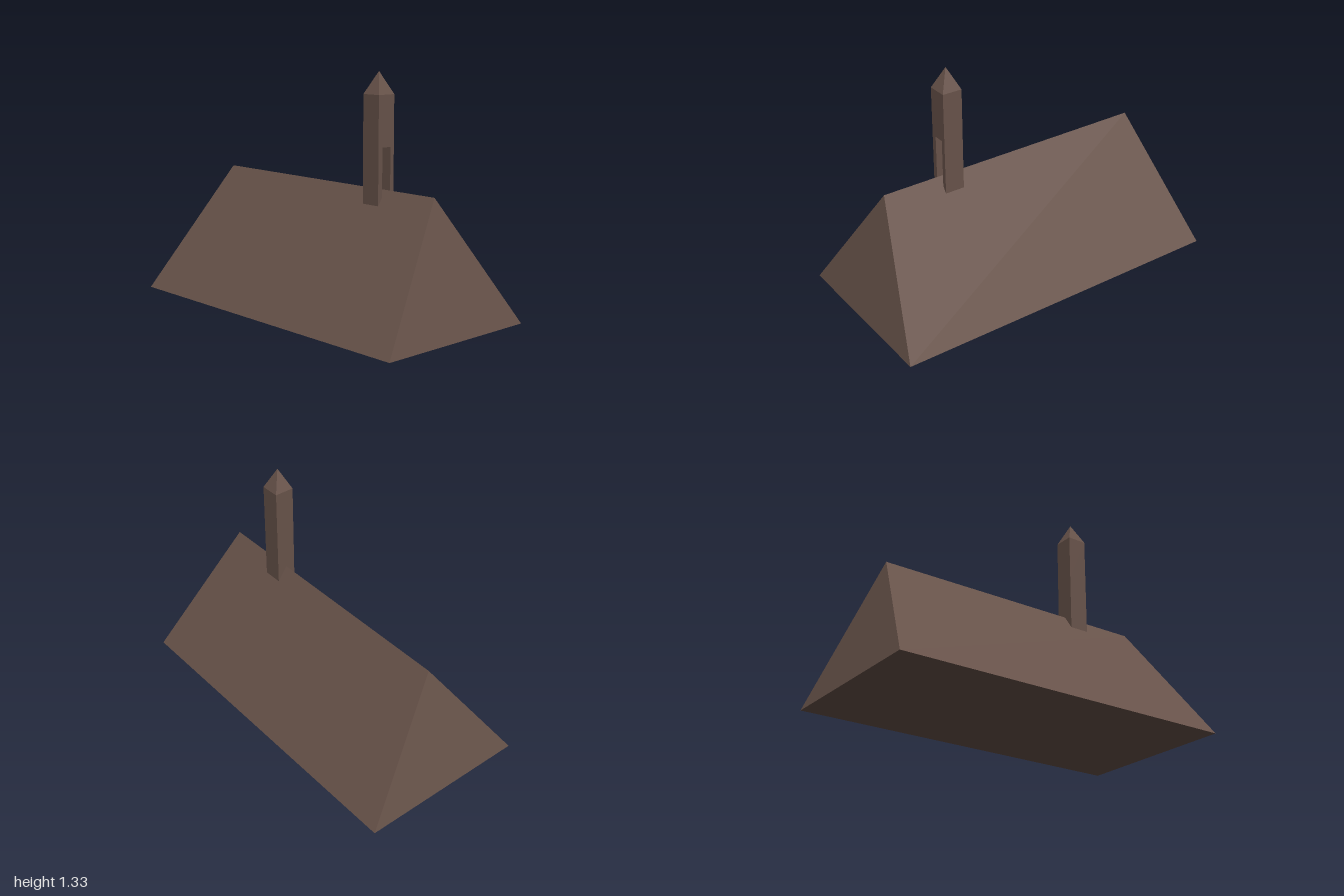
import * as THREE from 'three';

export function createModel() {
  const group = new THREE.Group();
  group.name = 'roofWithTurret';
  const brown = new THREE.MeshStandardMaterial({ color: 0x68534a, flatShading: true });
  brown.name = 'brown';

  const add = (name, geometry, x = 0, y = 0, z = 0) => {
    const mesh = new THREE.Mesh(geometry, brown);
    mesh.name = name;
    mesh.position.set(x, y, z);
    group.add(mesh);
  };

  // Hipped roof: four base corners and two ridge ends
  const points = [
    [-1, 0, 0.5], [1, 0, 0.5], [1, 0, -0.5], [-1, 0, -0.5],
    [-0.82, 0.71, 0], [0.82, 0.71, 0],
  ];
  const faces = [
    0, 1, 5, 0, 5, 4, // front slope
    2, 3, 4, 2, 4, 5, // back slope
    1, 2, 5, 3, 0, 4, // hips
    0, 3, 2, 0, 2, 1, // underside
  ];
  const roof = new THREE.BufferGeometry();
  roof.setAttribute('position', new THREE.Float32BufferAttribute(faces.flatMap((i) => points[i]), 3));
  roof.computeVertexNormals();
  add('hippedRoof', roof);

  // Turret: the lower shaft is U-shaped in plan, open towards +x
  const cx = 0.421, h = 0.057, eaves = 1.21, lintel = 0.935, foot = 0.58;
  const plan = new THREE.Shape([
    [-h, -h], [h, -h], [h, -0.028], [-0.03, -0.028],
    [-0.03, 0.032], [h, 0.032], [h, h], [-h, h],
  ].map(([x, y]) => new THREE.Vector2(x, y)));
  const shaft = new THREE.ExtrudeGeometry(plan, { depth: lintel - foot, bevelEnabled: false });
  shaft.rotateX(-Math.PI / 2);
  add('turretShaftWithNiche', shaft, cx, foot);

  // Solid upper shaft
  add('turretUpperShaft', new THREE.BoxGeometry(2 * h, eaves - lintel, 2 * h), cx, (eaves + lintel) / 2);

  // Pyramid cap
  const cap = new THREE.ConeGeometry(h * Math.SQRT2, 0.12, 4);
  cap.rotateY(Math.PI / 4);
  add('turretCap', cap, cx, eaves + 0.06);

  return group;
}
